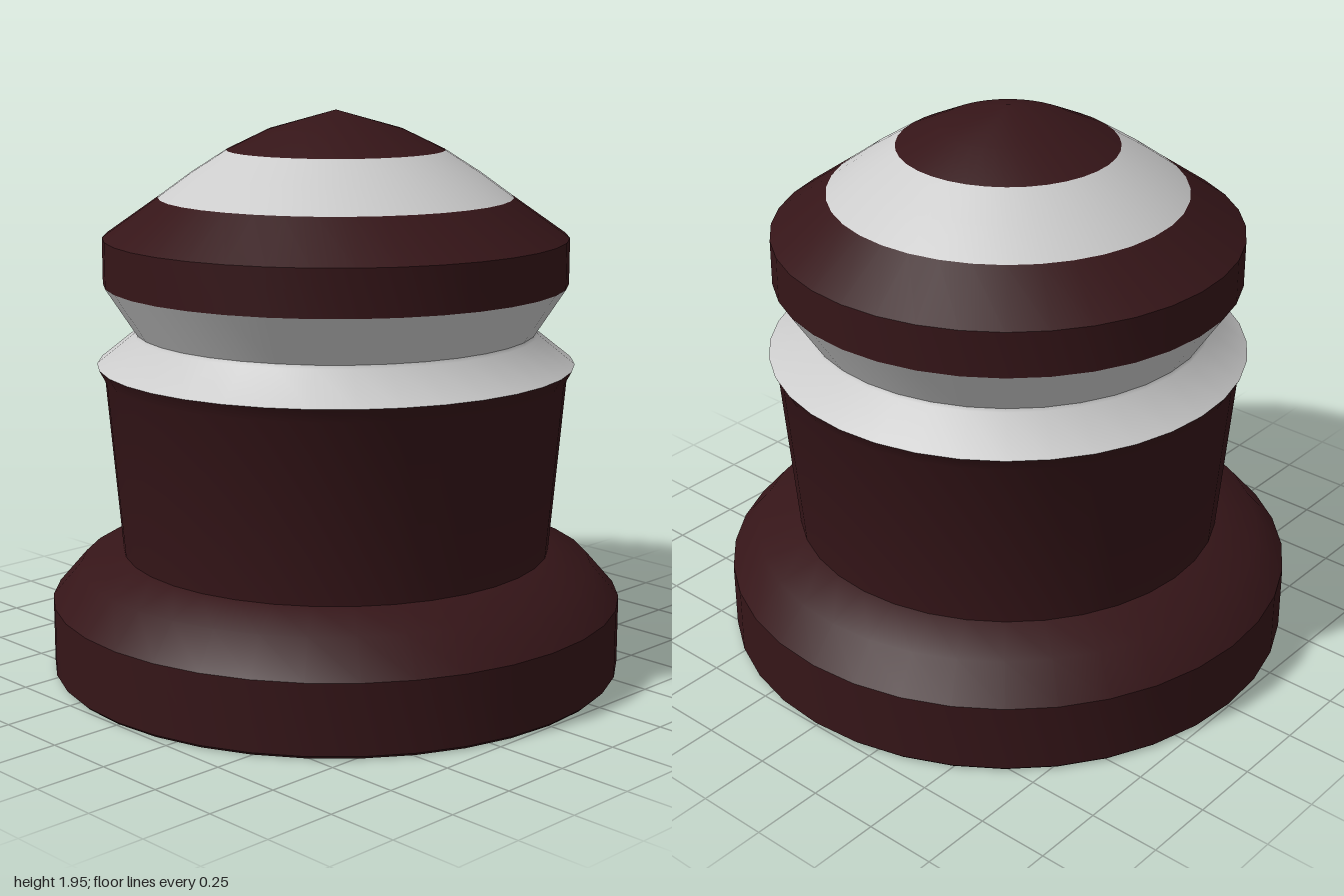
import * as THREE from 'three';
import { toCreasedNormals } from 'three/addons/utils/BufferGeometryUtils.js';

const SIDES = 36;
const maroon = new THREE.MeshStandardMaterial({ color: 0x351518 });
const grey = new THREE.MeshStandardMaterial({ color: 0xcccccc });

// One turned band; the profile runs bottom to top as [radius, height]
function band(name, material, profile) {
  const points = profile.map(([r, y]) => new THREE.Vector2(r, y));
  const geometry = toCreasedNormals(new THREE.LatheGeometry(points, SIDES), 0.55);
  const mesh = new THREE.Mesh(geometry, material);
  mesh.name = name;
  return mesh;
}

export function createModel() {
  const group = new THREE.Group();
  group.name = 'turnedPiece';
  group.add(
    // Wide foot with a closed underside and sloped shoulder
    band('base', maroon, [[0, 0], [0.99, 0], [1, 0.01], [1, 0.25], [0.9, 0.365], [0.75, 0.418]]),
    // Flared drum with a small lip
    band('body', maroon, [[0.75, 0.418], [0.802, 1.03], [0.828, 1.078]]),
    // Pinched groove between body and head
    band('neckGroove', grey, [[0.828, 1.078], [0.7, 1.18], [0.695, 1.192], [0.802, 1.357]]),
    // Head with a stripe and a shallow cap
    band('headRim', maroon, [[0.802, 1.357], [0.802, 1.515], [0.61, 1.65]]),
    band('domeStripe', grey, [[0.61, 1.65], [0.5, 1.73], [0.375, 1.81]]),
    band('domeCap', maroon, [[0.375, 1.81], [0.23, 1.88], [0, 1.945]]),
  );
  return group;
}
